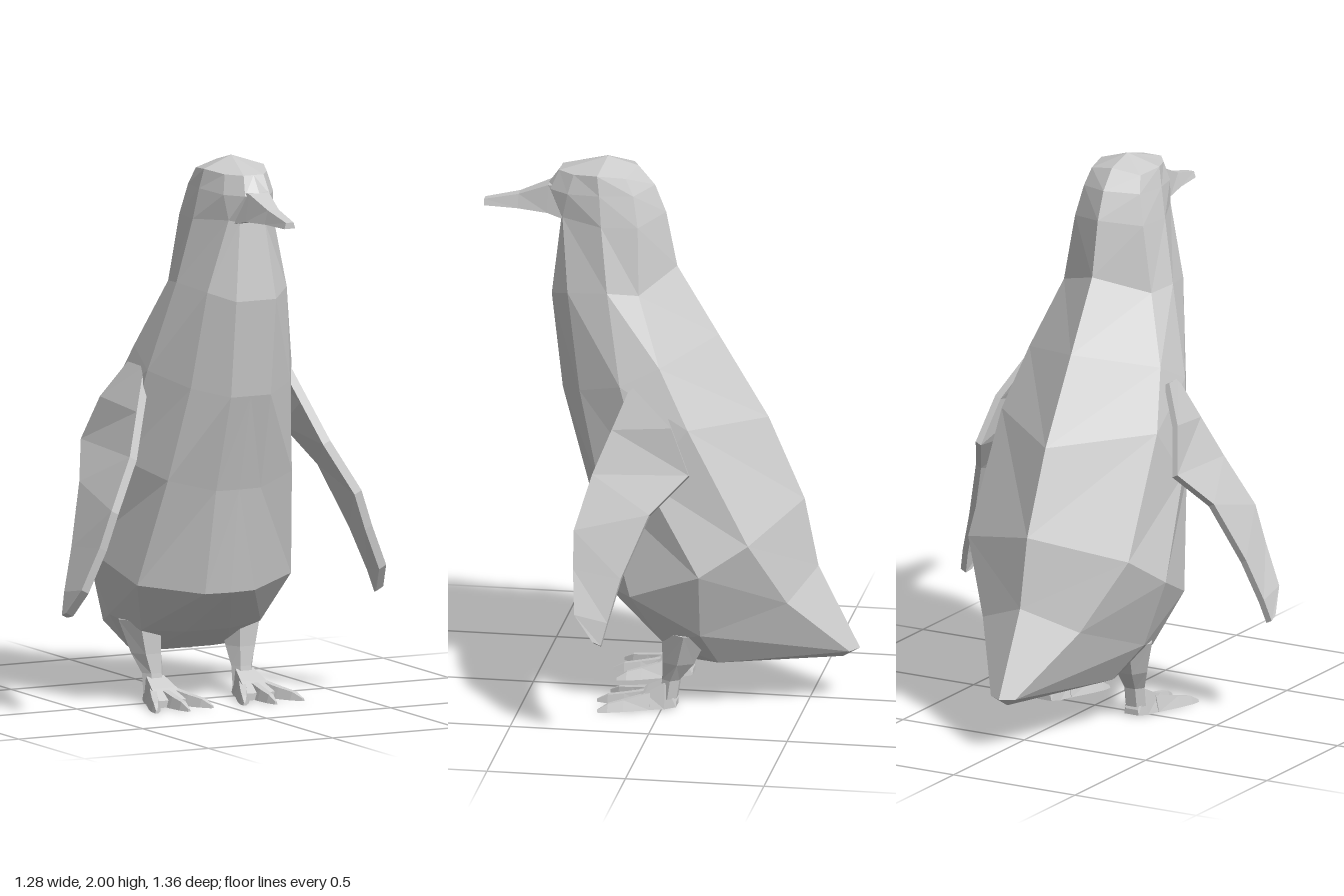
import * as THREE from 'three';

const material = new THREE.MeshStandardMaterial({ color: 0xcccccc, flatShading: true });

// Skins a list of equal-length rings and closes both ends with a fan to an apex (default: ring centre).
function loft(name, rings, startApex, endApex) {
  const n = rings[0].length;
  const centre = (ring) => [0, 1, 2].map((k) => ring.reduce((s, p) => s + p[k], 0) / n);
  const tris = [];
  for (let i = 0; i < rings.length - 1; i++) {
    for (let j = 0; j < n; j++) {
      const k = (j + 1) % n;
      const a = rings[i][j], b = rings[i][k], c = rings[i + 1][k], d = rings[i + 1][j];
      // the second half uses the other diagonal so both sides match
      if (j < n / 2) tris.push([a, b, c], [a, c, d]);
      else tris.push([a, b, d], [b, c, d]);
    }
  }
  const first = rings[0], last = rings[rings.length - 1];
  const s = startApex || centre(first), e = endApex || centre(last);
  for (let j = 0; j < n; j++) {
    const k = (j + 1) % n;
    tris.push([s, first[k], first[j]], [e, last[j], last[k]]);
  }
  // turn the faces outward according to the signed volume
  const [u, v, w] = [new THREE.Vector3(), new THREE.Vector3(), new THREE.Vector3()];
  let volume = 0;
  for (const [a, b, c] of tris) {
    volume += u.fromArray(a).dot(v.fromArray(b).cross(w.fromArray(c)));
  }
  if (volume < 0) tris.forEach((t) => t.reverse());
  const geometry = new THREE.BufferGeometry();
  geometry.setAttribute('position', new THREE.Float32BufferAttribute(tris.flat(2), 3));
  geometry.computeVertexNormals();
  const mesh = new THREE.Mesh(geometry, material);
  mesh.name = name;
  return mesh;
}

const flip = ([x, y, z]) => [-x, y, z];

// Completes a half ring (front centre to back centre) with its mirror image.
const fullRing = (half) => [...half, ...half.slice(1, -1).reverse().map(flip)];

// Four-cornered ring standing across z.
const boxRing = (x, z, halfTop, halfBottom, bottom, top) => [
  [x - halfBottom, bottom, z], [x + halfBottom, bottom, z],
  [x + halfTop, top, z], [x - halfTop, top, z],
];

// Half rings of the head and neck, from the crown down
const headHalves = [
  [[0, 1.95, 0.4], [0.04, 1.95, 0.4], [0.085, 1.95, 0.34], [0.12, 1.96, 0.25], [0.1, 1.95, 0.15], [0, 1.97, 0.12]],
  [[0, 1.88, 0.45], [0.05, 1.88, 0.43], [0.1, 1.88, 0.36], [0.135, 1.89, 0.24], [0.115, 1.89, 0.12], [0, 1.9, 0.06]],
  [[0, 1.78, 0.39], [0.05, 1.78, 0.39], [0.09, 1.79, 0.38], [0.155, 1.78, 0.23], [0.14, 1.78, 0.1], [0, 1.8, 0.02]],
];

// Half rings of the trunk, from the neck down to the tail
const trunkHalves = [
  [[0, 1.5, 0.42], [0.08, 1.5, 0.42], [0.16, 1.53, 0.35], [0.205, 1.55, 0.2], [0.18, 1.54, 0.09], [0, 1.6, -0.02]],
  [[0, 1.15, 0.38], [0.08, 1.15, 0.38], [0.2, 1.18, 0.3], [0.29, 1.23, 0.14], [0.27, 1.3, 0], [0, 1.35, -0.17]],
  [[0, 0.8, 0.29], [0.09, 0.8, 0.285], [0.25, 0.84, 0.22], [0.34, 0.9, 0.04], [0.32, 1.09, -0.11], [0, 1.05, -0.35]],
  [[0, 0.42, 0.23], [0.1, 0.42, 0.22], [0.31, 0.45, 0.1], [0.385, 0.56, -0.16], [0.33, 0.67, -0.33], [0, 0.75, -0.48]],
  [[0, 0.26, 0.05], [0.09, 0.26, 0.05], [0.24, 0.27, 0], [0.29, 0.31, -0.15], [0.2, 0.42, -0.45], [0, 0.5, -0.53]],
  [[0, 0.18, -0.08], [0.09, 0.18, -0.08], [0.16, 0.18, -0.1], [0.19, 0.18, -0.2], [0.05, 0.2, -0.65], [0, 0.2, -0.68]],
];

// Leading and trailing edge points of the flipper, shoulder to tip
const flipperEdges = [
  [[0.27, 1.23, 0.1], [0.29, 1.24, 0.01]],
  [[0.33, 1.08, 0.16], [0.365, 1.11, -0.06]],
  [[0.39, 0.93, 0.22], [0.405, 0.95, -0.13]],
  [[0.49, 0.75, 0.27], [0.48, 0.82, 0]],
  [[0.535, 0.62, 0.265], [0.56, 0.6, 0.09]],
  [[0.6, 0.47, 0.25], [0.61, 0.45, 0.13]],
  [[0.625, 0.38, 0.18], [0.63, 0.37, 0.15]],
];

function flipperRings() {
  const offset = (p, t) => [p[0] + 0.88 * t, p[1] + 0.45 * t, p[2]];
  return flipperEdges.map(([front, back]) => [
    offset(front, 0.016), offset(back, 0.012), offset(back, -0.012), offset(front, -0.016),
  ]);
}

// Six-sided leg ring lying across y
function legRing(x, y, z, rx, rz) {
  return Array.from({ length: 6 }, (_, i) => {
    const a = (i / 6) * Math.PI * 2;
    return [x + rx * Math.cos(a), y, z + rz * Math.sin(a)];
  });
}

// Tapered toe with a slight knuckle, ending in a claw
function toeRings(x0, x1, z1) {
  const z0 = 0.04;
  const at = (t, half, top) =>
    boxRing(x0 + (x1 - x0) * t, z0 + (z1 - z0) * t, half * 0.5, half, 0.005, top);
  return [at(0, 0.026, 0.065), at(0.5, 0.024, 0.045), at(0.8, 0.018, 0.035), at(1, 0.006, 0.015)];
}

// One side's flipper, leg, foot and toes; side is +1 for left, -1 for right
function limbs(side) {
  const group = new THREE.Group();
  const label = side > 0 ? 'left' : 'right';
  group.name = `${label}Limbs`;
  const add = (name, rings) => {
    const placed = side > 0 ? rings : rings.map((ring) => ring.map(flip));
    group.add(loft(label + name, placed));
  };
  add('Flipper', flipperRings());
  add('Leg', [
    legRing(0.2, 0.3, -0.09, 0.085, 0.1),
    legRing(0.19, 0.18, -0.06, 0.06, 0.065),
    legRing(0.18, 0.11, -0.03, 0.042, 0.036),
    legRing(0.18, 0.04, -0.02, 0.042, 0.035),
  ]);
  add('Foot', [
    boxRing(0.18, -0.05, 0.025, 0.03, 0.01, 0.03),
    boxRing(0.18, -0.01, 0.035, 0.045, 0.005, 0.1),
    boxRing(0.18, 0.06, 0.05, 0.065, 0.005, 0.065),
    boxRing(0.18, 0.12, 0.06, 0.08, 0.005, 0.03),
  ]);
  add('InnerToe', toeRings(0.145, 0.065, 0.21));
  add('MiddleToe', toeRings(0.18, 0.175, 0.24));
  add('OuterToe', toeRings(0.215, 0.295, 0.22));
  return group;
}

export function createModel() {
  const model = new THREE.Group();
  model.name = 'penguin';

  // Head, neck, trunk and tail in one skin
  const rings = [...headHalves, ...trunkHalves].map(fullRing);
  model.add(loft('body', rings, [0, 2, 0.23], [0, 0.165, -0.62]));

  // Beak
  model.add(loft('beak', [
    boxRing(0, 0.36, 0.07, 0.075, 1.77, 1.9),
    boxRing(0, 0.44, 0.04, 0.055, 1.79, 1.89),
    boxRing(0, 0.55, 0.022, 0.035, 1.795, 1.845),
    boxRing(0, 0.675, 0.015, 0.022, 1.795, 1.817),
  ]));

  model.add(limbs(1), limbs(-1));
  return model;
}
